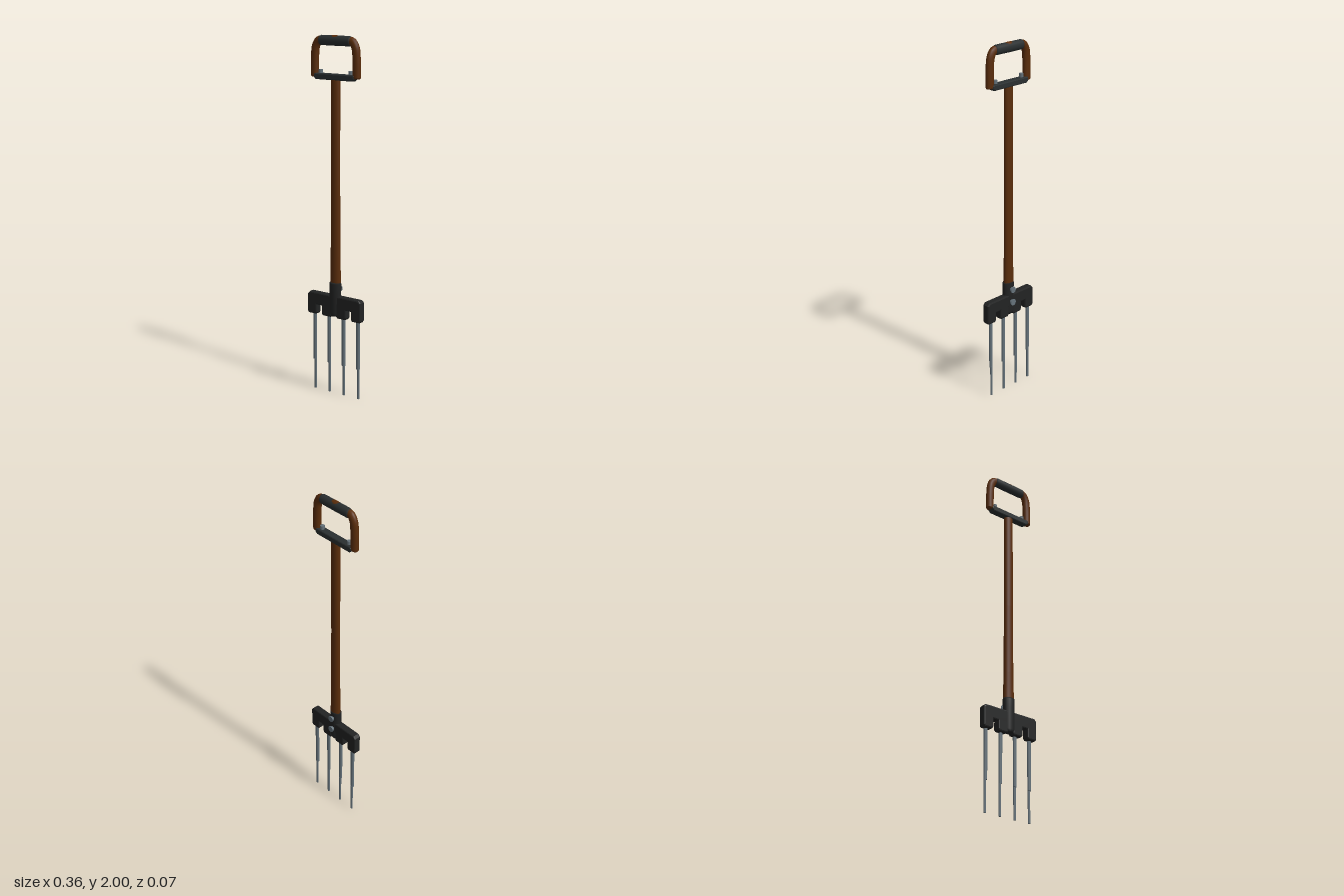
import * as THREE from 'three';

export function createModel() {
  const model = new THREE.Group();
  const mat = (name, color) => {
    const m = new THREE.MeshStandardMaterial({ color });
    m.name = name;
    return m;
  };
  const wood = mat('brown wood', 0x5a2d0b);
  const iron = mat('black iron', 0x222323);
  const grip = mat('dark grip', 0x2a2f30);
  const steel = mat('grey steel', 0x66737b);
  const Z = 0.004; // centre plane of the tool

  const add = (name, geo, material, x = 0, y = 0, z = Z) => {
    const mesh = new THREE.Mesh(geo, material);
    mesh.name = name;
    mesh.position.set(x, y, z);
    model.add(mesh);
    return mesh;
  };

  // Flat-sided plate with bevelled rim; outline is the full outer size
  const plate = (points, depth, bevel) => {
    const shape = new THREE.Shape(points.map(([x, y]) => new THREE.Vector2(x, y)));
    const geo = new THREE.ExtrudeGeometry(shape, {
      depth: depth - 2 * bevel, bevelEnabled: true, bevelThickness: bevel,
      bevelSize: bevel, bevelOffset: -bevel, bevelSegments: 2,
    });
    return geo.translate(0, 0, bevel - depth / 2);
  };

  // Oval wooden shaft, slightly swollen at the foot
  const shaftProfile = [[0, 0.6], [0.033, 0.6], [0.033, 0.66], [0.03, 0.8], [0.028, 1.2], [0.028, 1.78], [0, 1.78]];
  const shaft = add('shaft', new THREE.LatheGeometry(
    shaftProfile.map(([r, y]) => new THREE.Vector2(r, y)), 20), wood);
  shaft.scale.z = 0.7;

  // Fork head with four lugs
  const half = [[0, 0.505], [0.016, 0.505], [0.016, 0.46], [0.024, 0.45], [0.076, 0.45], [0.084, 0.46],
    [0.084, 0.505], [0.118, 0.505], [0.118, 0.46], [0.126, 0.45], [0.174, 0.45], [0.182, 0.46],
    [0.182, 0.562], [0.168, 0.576], [0, 0.576]];
  const mirrored = half.slice(1, -1).reverse().map(([x, y]) => [-x, y]);
  add('forkHead', plate([...half, ...mirrored], 0.042, 0.007), iron);

  // Socket joining the head to the shaft
  const socketProfile = [[0, 0.46], [0.028, 0.46], [0.034, 0.475], [0.035, 0.6], [0.036, 0.645], [0.033, 0.652], [0, 0.652]];
  const socket = add('socket', new THREE.LatheGeometry(
    socketProfile.map(([r, y]) => new THREE.Vector2(r, y)), 16), iron, 0, 0, 0.006);
  socket.scale.z = 0.77;

  // Bolts at the back of the socket
  for (const y of [0.535, 0.61]) {
    const neck = add('boltNeck', new THREE.CylinderGeometry(0.013, 0.013, 0.02, 12), steel, 0, y, -0.024);
    const head = add('boltHead', new THREE.CylinderGeometry(0.019, 0.019, 0.005, 12), steel, 0, y, -0.033);
    neck.rotation.x = head.rotation.x = Math.PI / 2;
  }

  // Stepped tines
  for (const x of [-0.15, -0.05, 0.05, 0.15]) {
    const upper = add('tineUpper', new THREE.CylinderGeometry(0.012, 0.011, 0.285, 10), steel, x, 0.3175, -0.003);
    upper.scale.z = 0.8;
    const tip = add('tineTip', new THREE.CylinderGeometry(0.008, 0.007, 0.18, 10), steel, x, 0.09, -0.006);
    tip.scale.z = 0.8;
  }

  // Lower bar of the handle
  add('handleBar', plate([[-0.12, 1.764], [0.12, 1.764], [0.134, 1.775], [0.134, 1.79], [0.128, 1.797],
    [-0.128, 1.797], [-0.134, 1.79], [-0.134, 1.775]], 0.042, 0.006), grip);

  // Curved wooden arms with end caps and small bolts
  for (const s of [-1, 1]) {
    const path = new THREE.CatmullRomCurve3([[0.09, 1.974], [0.113, 1.968], [0.131, 1.94], [0.138, 1.88], [0.139, 1.782]]
      .map(([x, y]) => new THREE.Vector3(s * x, y, 0)));
    const arm = add('handleArm', new THREE.TubeGeometry(path, 24, 0.0235, 14, false), wood);
    arm.scale.z = 0.82;
    const cap = add('armEnd', new THREE.CylinderGeometry(0.0235, 0.019, 0.006, 14), wood, s * 0.139, 1.78);
    cap.scale.z = 0.82;
    add('handleBolt', new THREE.CylinderGeometry(0.012, 0.012, 0.024, 10), steel, s * 0.1, 1.805);
  }

  // Top grip, oval with softened ends
  const gripProfile = [[0, -0.106], [0.022, -0.106], [0.027, -0.094], [0.0275, 0], [0.027, 0.094], [0.022, 0.106], [0, 0.106]];
  const topGrip = add('topGrip', new THREE.LatheGeometry(
    gripProfile.map(([r, y]) => new THREE.Vector2(r, y)), 20), grip, 0, 1.972, Z);
  topGrip.rotation.z = Math.PI / 2;
  topGrip.scale.z = 0.82;

  // Wooden inlay on top of the grip
  const inlay = add('gripInlay', new THREE.SphereGeometry(1, 20, 12), wood, 0, 1.982, Z);
  inlay.scale.set(0.06, 0.0185, 0.0185);

  return model;
}
